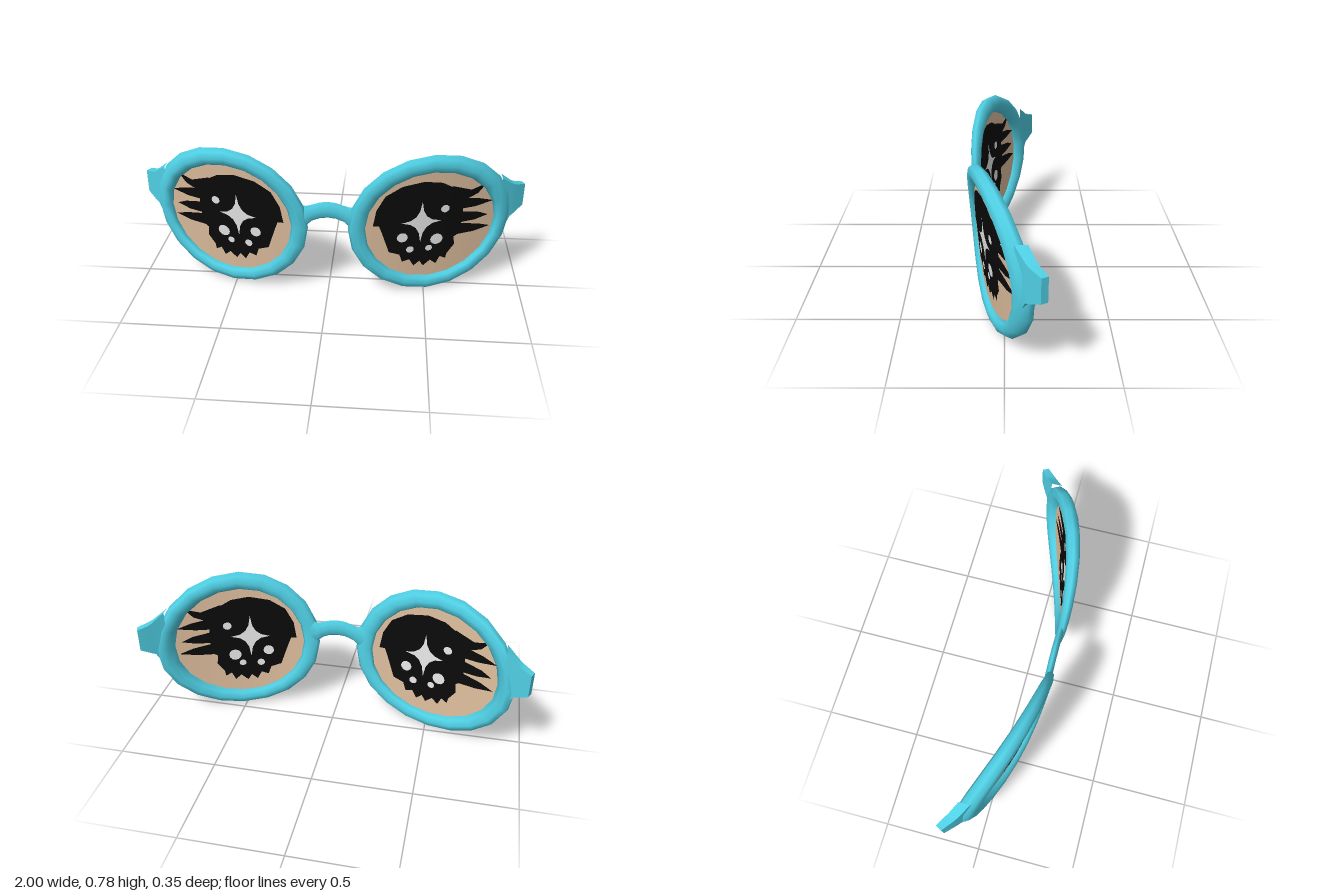
import * as THREE from 'three';
import { toCreasedNormals } from 'three/addons/utils/BufferGeometryUtils.js';

const material = (name, color, side = THREE.FrontSide) => {
  const m = new THREE.MeshStandardMaterial({ color, side });
  m.name = name;
  return m;
};

// Curved sheet that the whole pair of glasses follows
const sheetZ = (x, y) => 0.152 - 0.29 * x * x + 0.065 * (y - 0.39);

// Skin over cross-section loops; s = -1 mirrors in x and keeps faces outward
function loft(loops, s, closed, cap) {
  const n = loops[0].length, rows = loops.length, index = [];
  const tri = (a, b, c) => index.push(...(s > 0 ? [a, b, c] : [a, c, b]));
  for (let i = 0; i < (closed ? rows : rows - 1); i++) {
    for (let j = 0; j < n; j++) {
      const k = (j + 1) % n, p = i * n, q = ((i + 1) % rows) * n;
      tri(p + j, q + j, p + k);
      tri(q + j, q + k, p + k);
    }
  }
  if (cap) {
    const e = (rows - 1) * n;
    for (let j = 1; j < n - 1; j++) tri(e, e + j + 1, e + j);
  }
  const geo = new THREE.BufferGeometry();
  const flat = loops.flat().flatMap(([x, y, z]) => [s * x, y, z]);
  geo.setAttribute('position', new THREE.Float32BufferAttribute(flat, 3));
  geo.setIndex(index);
  geo.computeVertexNormals();
  return geo;
}

// Thin patch on the curved sheet, filled in rings from its centre to its outline
function patch(outline, s, offset, center) {
  const n = outline.length, rings = 6;
  const c = center || [0, 1].map(k => outline.reduce((t, p) => t + p[k], 0) / n);
  const loops = [];
  for (let i = rings; i >= 0; i--) {
    loops.push(outline.map(p => {
      const x = c[0] + (p[0] - c[0]) * i / rings, y = c[1] + (p[1] - c[1]) * i / rings;
      return [x, y, sheetZ(x, y) + offset];
    }));
  }
  return loft(loops, s, false, false);
}

const ellipse = (cx, cy, rx, ry, n) => Array.from({ length: n }, (_, i) => {
  const a = i / n * Math.PI * 2;
  return [cx + rx * Math.cos(a), cy + ry * Math.sin(a)];
});

// Big dark eye with a ragged lower edge, counterclockwise from the top
const EYE = [
  [0.47, 0.64], [0.364, 0.62], [0.283, 0.57], [0.24, 0.49], [0.225, 0.4], [0.255, 0.4],
  [0.27, 0.36], [0.29, 0.3], [0.31, 0.24], [0.365, 0.22], [0.38, 0.175], [0.417, 0.187],
  [0.44, 0.145], [0.47, 0.172], [0.49, 0.14], [0.525, 0.172], [0.555, 0.145], [0.575, 0.187],
  [0.605, 0.17], [0.61, 0.2], [0.645, 0.25], [0.64, 0.3], [0.67, 0.32], [0.675, 0.44],
  [0.665, 0.545], [0.63, 0.583], [0.56, 0.625],
];
const LASHES = [
  [[0.61, 0.6], [0.6, 0.5], [0.67, 0.505], [0.745, 0.54], [0.785, 0.59], [0.71, 0.565]],
  ...[[0.49, 0.83], [0.41, 0.81], [0.34, 0.825]].map(([y, tip]) => [
    [0.64, y + 0.04], [0.64, y - 0.03], [0.74, y - 0.026], [tip, y - 0.008], [0.76, y + 0.016],
  ]),
];
// Highlight dots: x, y, radius
const DOTS = [
  [0.583, 0.476, 0.022], [0.55, 0.3, 0.032], [0.375, 0.325, 0.028],
  [0.417, 0.25, 0.02], [0.513, 0.25, 0.018],
];
// Four-pointed sparkle
const SPARKLE = Array.from({ length: 16 }, (_, i) => {
  const a = i * Math.PI / 8, k = [1, 0.55, 0.38, 0.55][i % 4];
  const pull = (i % 4 === 1 ? -1 : i % 4 === 3 ? 1 : 0) * 0.22;
  return [0.467 + 0.1 * k * Math.cos(a + pull), 0.41 + 0.12 * k * Math.sin(a + pull)];
});

// Oval rim tube, thinner front to back beside the bridge
function rimGeometry(s) {
  const loops = [];
  for (let i = 0; i < 20; i++) {
    const a = i / 20 * Math.PI * 2, ca = Math.cos(a), sa = Math.sin(a);
    const r = 0.043 + 0.005 * sa, rz = 0.034 + 0.011 * ca + 0.004 * sa;
    loops.push(Array.from({ length: 8 }, (_, j) => {
      const v = j / 8 * Math.PI * 2, d = r * Math.cos(v);
      const x = 0.515 + (0.372 + d) * ca, y = 0.384 + (0.349 + d) * sa;
      return [x, y, sheetZ(0.515 + 0.372 * ca + d * ca, y) + rz * Math.sin(v)];
    }));
  }
  return loft(loops, s, true, false);
}

// Tapering hinge lug: x, top, bottom, z centre, half thickness, slant of the end
function lugGeometry(s) {
  const stations = [
    [0.865, 0.605, 0.24, -0.066, 0.028, 0], [0.93, 0.555, 0.37, -0.107, 0.024, 0.008],
    [0.95, 0.545, 0.38, -0.121, 0.022, 0.012], [1, 0.53, 0.41, -0.158, 0.015, 0.015],
  ];
  const loops = stations.map(([x, t, b, z, h, k]) => [
    [x, t, z + h], [x - k, t, z - h], [x - k, b, z - h], [x, b, z + h],
  ]);
  return toCreasedNormals(loft(loops, s, false, true), 0.6);
}

// Arched bridge: x, y centre, vertical radius
function bridgeGeometry() {
  const half = [[0.15, 0.435, 0.075], [0.11, 0.448, 0.055], [0.08, 0.466, 0.045], [0.04, 0.481, 0.044]];
  const path = [...half.map(([x, y, r]) => [-x, y, r]), [0, 0.486, 0.044], ...half.reverse()];
  const loops = path.map(([x, y, r]) => Array.from({ length: 8 }, (_, j) => {
    const v = j / 8 * Math.PI * 2;
    return [x, y + r * Math.cos(v), 0.144 - 0.018 * Math.sin(v)];
  }));
  return loft(loops, 1, false, false);
}

export function createModel() {
  const group = new THREE.Group();
  group.name = 'glasses';
  const frame = material('turquoise frame', 0x4fcfe4);
  const tan = material('tan lens', 0xdcbc9c, THREE.DoubleSide);
  const black = material('black eye', 0x0a0a0a, THREE.DoubleSide);
  const white = material('pale highlight', 0xe6e6e6, THREE.DoubleSide);
  const add = (parent, name, geo, mat) => {
    const mesh = new THREE.Mesh(geo, mat);
    mesh.name = name;
    parent.add(mesh);
  };

  add(group, 'bridge', bridgeGeometry(), frame);

  for (const [s, side] of [[1, 'left'], [-1, 'right']]) {
    const half = new THREE.Group();
    half.name = side + 'Eyepiece';
    group.add(half);
    add(half, 'rim', rimGeometry(s), frame);
    add(half, 'hingeLug', lugGeometry(s), frame);
    add(half, 'lens', patch(ellipse(0.515, 0.381, 0.335, 0.32, 40), s, 0), tan);

    // The picture shows on both faces of the lens
    for (const f of [1, -1]) {
      add(half, 'eye', patch(EYE, s, 0.003 * f, [0.47, 0.4]), black);
      LASHES.forEach(l => add(half, 'lash', patch(l, s, 0.003 * f), black));
      add(half, 'sparkle', patch(SPARKLE, s, 0.006 * f), white);
      DOTS.forEach(([x, y, r]) => add(half, 'highlightDot', patch(ellipse(x, y, r, r, 12), s, 0.006 * f), white));
    }
  }
  return group;
}
